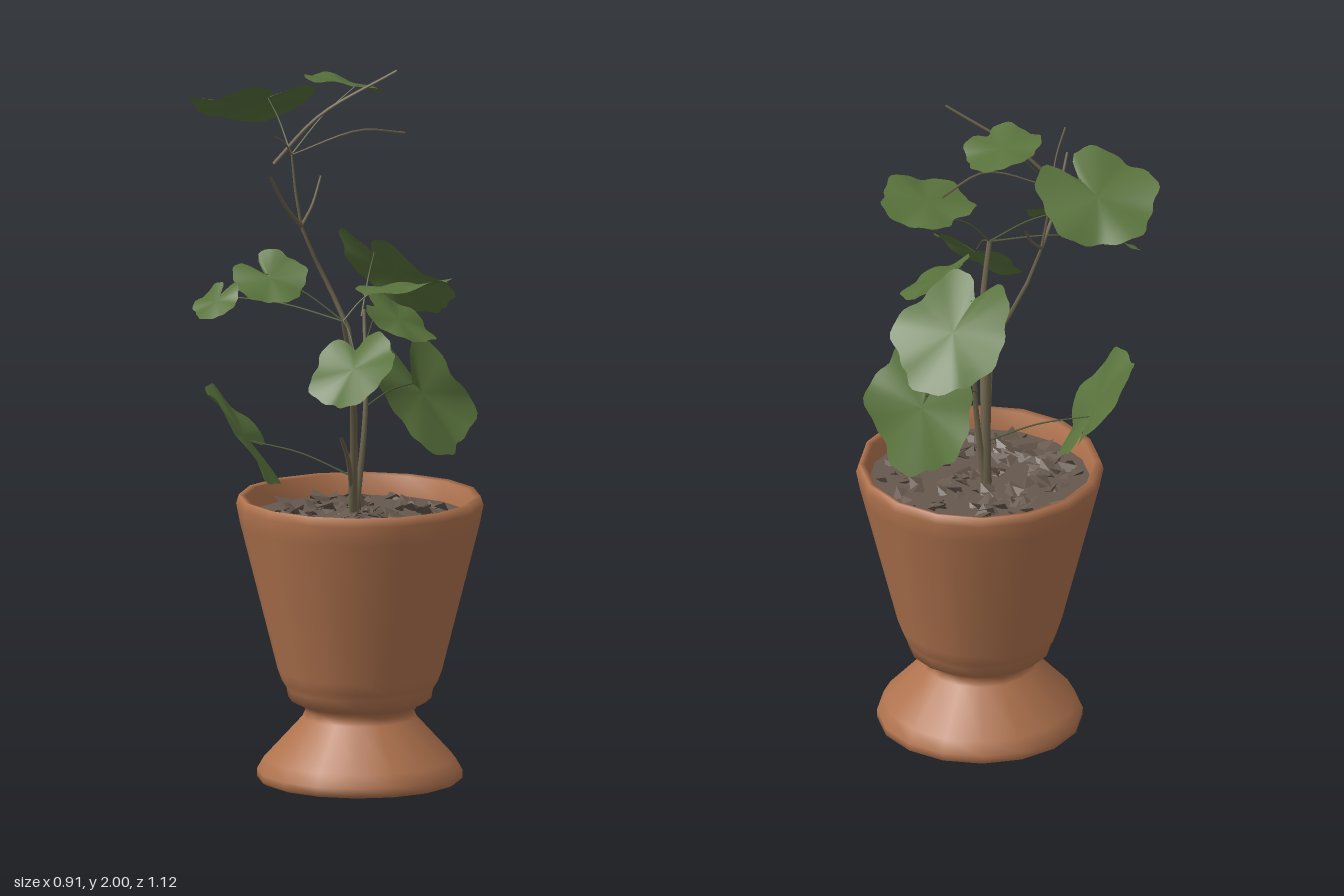
import * as THREE from 'three';
import { mergeGeometries } from 'three/addons/utils/BufferGeometryUtils.js';

const mat = (name, color, extra = {}) => {
  const m = new THREE.MeshStandardMaterial({ color, ...extra });
  m.name = name;
  return m;
};
const V = (a) => new THREE.Vector3(...a);

function seeded(seed) {
  return () => {
    seed = (seed * 16807) % 2147483647;
    return seed / 2147483647;
  };
}

// Lobed leaf with a narrow notch opposite its tip, gently waved along its normal
function leafGeometry(radius, notch, phase) {
  const g = new THREE.RingGeometry(0.001, 1, 64, 5, Math.PI, Math.PI * 2);
  const p = g.attributes.position;
  for (let i = 0; i < p.count; i++) {
    const x = p.getX(i), y = p.getY(i);
    const rho = Math.hypot(x, y), t = Math.atan2(y, x);
    const fromNotch = Math.PI - Math.abs(t);
    const open = THREE.MathUtils.smoothstep(fromNotch, 0, 0.3);
    const edge = 0.965 + 0.06 * Math.cos(5 * t) + 0.025 * Math.sin(13 * t + phase);
    const r = rho * radius * (notch + (edge - notch) * open);
    const wave = 0.045 * Math.cos(5 * t + 0.4) + 0.06 * Math.sin(2 * t + phase);
    p.setXYZ(i, r * Math.cos(t), r * Math.sin(t), radius * rho * rho * wave);
  }
  g.computeVertexNormals();
  return g;
}

// Branch that thins toward its end
function branchGeometry(points, r0, r1, sides = 6) {
  const curve = new THREE.CatmullRomCurve3(points);
  const steps = 10;
  const g = new THREE.TubeGeometry(curve, steps, 1, sides, false);
  const p = g.attributes.position, v = new THREE.Vector3();
  for (let i = 0; i < p.count; i++) {
    const u = Math.floor(i / (sides + 1)) / steps;
    const c = curve.getPointAt(u);
    v.fromBufferAttribute(p, i).sub(c).multiplyScalar(r0 + (r1 - r0) * u).add(c);
    p.setXYZ(i, v.x, v.y, v.z);
  }
  return g;
}

export function createModel() {
  const root = new THREE.Group();
  root.name = 'pottedPlant';
  const clay = mat('terracotta', 0xb0734e);
  const earth = mat('soil', 0x66584d);
  const chipMat = mat('soilChips', 0x64564b, { flatShading: true });
  const bark = mat('stem', 0x6c634c);
  const green = mat('twig', 0x4f5938);
  const leafMat = mat('leaf', 0x59723c, { side: THREE.DoubleSide });

  const add = (name, geometry, material, parent = root) => {
    const m = new THREE.Mesh(geometry, material);
    m.name = name;
    parent.add(m);
    return m;
  };

  // Pot: hollow foot, neck ring, flared bowl and open rim
  const potGroup = new THREE.Group();
  potGroup.name = 'pot';
  potGroup.position.set(0.031, 0, 0.108);
  root.add(potGroup);
  const profile = [
    [0, 0.15], [0.12, 0.14], [0.26, 0.02], [0.272, 0], [0.287, 0.008], [0.288, 0.03],
    [0.268, 0.065], [0.16, 0.182], [0.152, 0.2], [0.165, 0.217], [0.2, 0.235],
    [0.205, 0.262], [0.218, 0.282], [0.23, 0.315], [0.335, 0.73],
    [0.346, 0.785], [0.338, 0.81], [0.32, 0.806], [0.312, 0.74],
  ].map(([x, y]) => new THREE.Vector2(x, y));
  add('potBody', new THREE.LatheGeometry(profile, 16), clay, potGroup);

  // Soil disc with scattered chips
  const soil = add('soil', new THREE.CircleGeometry(0.316, 32), earth, potGroup);
  soil.rotation.x = -Math.PI / 2;
  soil.position.y = 0.75;
  const rnd = seeded(77);
  const chips = [];
  for (let i = 0; i < 150; i++) {
    const g = new THREE.TetrahedronGeometry(0.014 + 0.026 * rnd());
    g.scale(1, 0.45, 1.2);
    g.rotateX((rnd() - 0.5) * 1.6);
    g.rotateY(rnd() * 6.28);
    const a = rnd() * Math.PI * 2, d = 0.28 * Math.sqrt(rnd());
    g.translate(d * Math.cos(a), 0.75 + 0.012 * rnd(), d * Math.sin(a));
    chips.push(g);
  }
  add('soilChips', mergeGeometries(chips), chipMat, potGroup);

  // Woody stems and bare twigs
  const stems = new THREE.Group();
  stems.name = 'stems';
  root.add(stems);
  [
    ['leftStem', 0.014, 0.007, [[0.02, 0.74, 0.09], [-0.03, 1, 0.15], [-0.13, 1.2, 0.25], [-0.19, 1.36, 0.28]]],
    ['tallStem', 0.012, 0.003, [[0.03, 0.74, 0.08], [0.06, 1.05, 0.05], [0.09, 1.25, 0],
      [0.06, 1.4, -0.07], [0, 1.55, -0.1], [-0.01, 1.76, -0.13]]],
    ['rightStem', 0.01, 0.005, [[0.03, 0.74, 0.09], [0.06, 1.05, 0.1], [0.11, 1.32, 0.04]]],
    ['lowTwig', 0.008, 0.005, [[0.02, 0.8, 0.09], [-0.05, 0.92, 0.15], [-0.19, 1.03, 0.27]]],
    ['forkTwigLeft', 0.006, 0.004, [[0, 1.55, -0.1], [-0.1, 1.63, -0.06], [-0.21, 1.735, 0]]],
    ['forkTwigRight', 0.005, 0.003, [[0, 1.55, -0.1], [0.06, 1.6, -0.12], [0.12, 1.67, -0.15]]],
    ['topTwig', 0.006, 0.004, [[-0.03, 1.72, -0.18], [0.05, 1.86, -0.08], [0.18, 1.998, 0.1]]],
    ['crownTwigRight', 0.002, 0.004, [[-0.01, 1.75, -0.13], [0.14, 1.815, -0.02], [0.3, 1.79, 0]]],
    ['crownTwigLeft', 0.002, 0.003, [[-0.01, 1.75, -0.13], [-0.08, 1.8, -0.08], [-0.17, 1.84, -0.03]]],
  ].forEach(([name, r0, r1, pts]) => add(name, branchGeometry(pts.map(V), r0, r1), bark, stems));

  // Leaves: centre, normal, tip direction, radius, notch depth, petiole start
  const leftTop = [-0.19, 1.36, 0.28], crown = [-0.01, 1.75, -0.13];
  const leaves = [
    ['backTopLeaf', [0.08, 1.85, -0.39], [0.22, 0.9, -0.38], [0.05, -0.4, -1], 0.174, 0.45, crown],
    ['topLeaf', [0.17, 1.935, -0.11], [0.22, 0.97, 0.06], [0.3, 0, -1], 0.112, 0.7, crown],
    ['rightLeaf', [0.308, 1.385, -0.052], [0.7, 0.7, 0], [1, -1, 0], 0.19, 0.6, [0.1, 1.3, 0.04]],
    ['rightLowLeaf', [0.265, 1.07, 0.11], [0.93, 0.36, 0], [0, -1, 0.1], 0.194, 0.2, [0.06, 1.05, 0.09]],
    ['leftLowLeaf', [-0.21, 0.985, -0.11], [1, 1, 1], [-1, 0.6, 0.2], 0.172, 0.3, [0, 0.87, 0.1]],
    ['leftSmallLeaf', [-0.388, 1.4, -0.028], [-0.62, 0.78, 0], [-1, -0.5, 0.1], 0.074, 0.3, leftTop],
    ['leftTopLeaf', [-0.31, 1.475, 0.108], [-0.35, 0.82, 0.42], [-0.1, -0.3, 1], 0.106, 0.2, leftTop],
    ['frontLeftLeaf', [-0.262, 1.25, 0.4], [-0.68, 0.72, 0.1], [-0.7, -0.5, 0.6], 0.134, 0.6, leftTop],
    ['frontTopLeaf', [-0.092, 1.468, 0.428], [0, 0.97, -0.16], [0, 0.1, 1], 0.134, 0.8, leftTop],
    ['frontLeaf', [0.03, 1.335, 0.272], [0.2, 0.83, 0.5], [0.6, -0.3, 0.6], 0.113, 0.7, [-0.08, 1.1, 0.19]],
  ];
  leaves.forEach(([name, c, n, t, radius, notch, from], i) => {
    const group = new THREE.Group();
    group.name = name;
    root.add(group);
    const normal = V(n).normalize();
    const tip = V(t).projectOnPlane(normal).normalize();
    const side = new THREE.Vector3().crossVectors(normal, tip);
    const g = leafGeometry(radius, notch, i * 1.7);
    g.applyMatrix4(new THREE.Matrix4().makeBasis(tip, side, normal).setPosition(V(c)));
    add('blade', g, leafMat, group);
    const end = V(c).addScaledVector(tip, -radius * notch * 0.9);
    const mid = V(from).lerp(end, 0.5);
    mid.y += 0.015;
    add('petiole', branchGeometry([V(from), mid, end], 0.003, 0.0018, 5), green, group);
  });

  return root;
}
